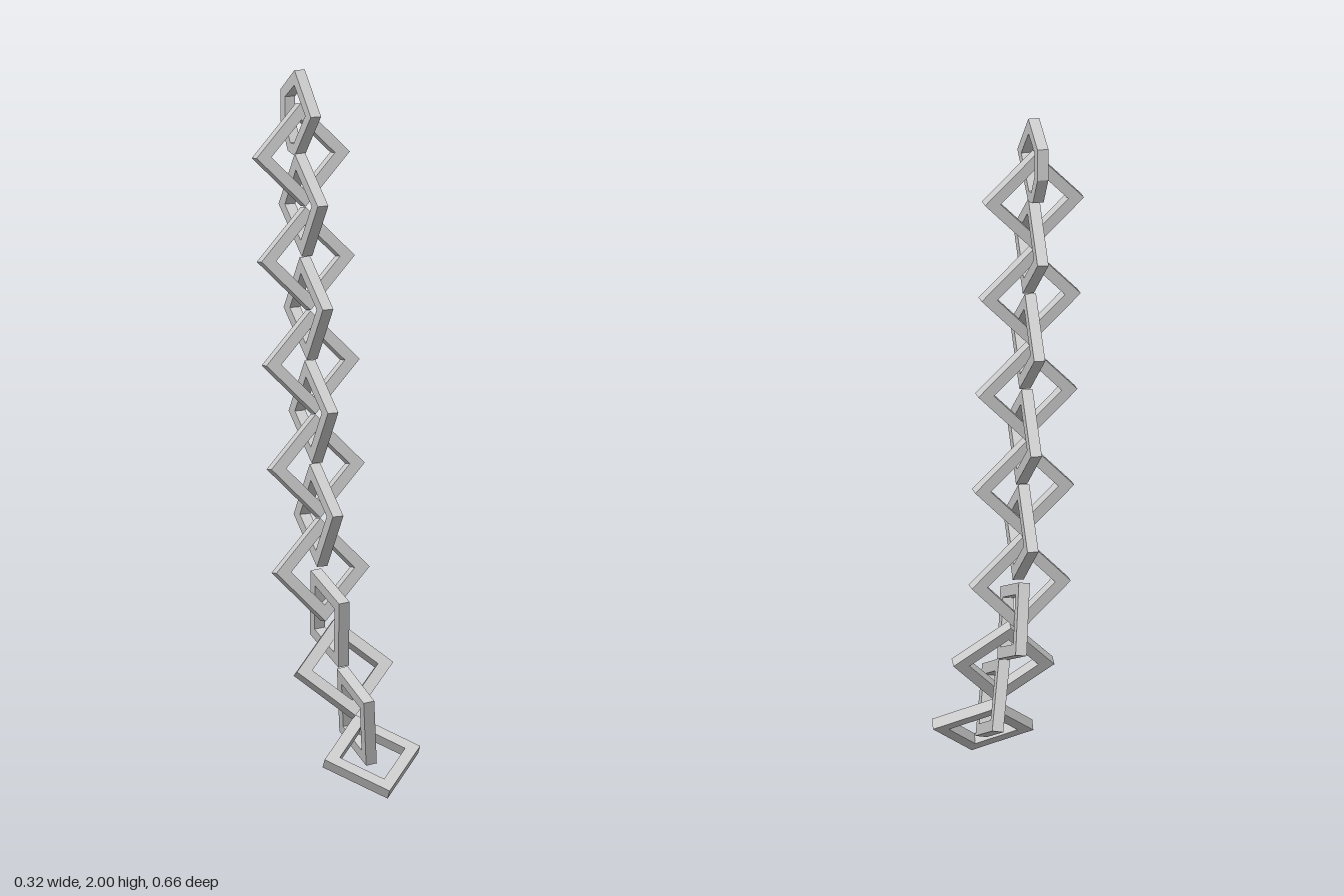
import * as THREE from 'three';

const material = new THREE.MeshStandardMaterial({ color: 0xcccccc, flatShading: true });
const THICKNESS = 0.032;

// Flat ring cut from an outer and an inner outline, centred in depth
function ringGeometry(outer, inner) {
  const toPoints = list => list.map(([x, y]) => new THREE.Vector2(x, y));
  const shape = new THREE.Shape(toPoints(outer));
  shape.holes.push(new THREE.Path(toPoints(inner)));
  const geometry = new THREE.ExtrudeGeometry(shape, { depth: THICKNESS, bevelEnabled: false });
  return geometry.translate(0, 0, -THICKNESS / 2);
}

const diamond = r => [[r, 0], [0, r], [-r, 0], [0, -r]];

export function createModel() {
  const chain = new THREE.Group();
  chain.name = 'chain';
  const linkGeometry = ringGeometry(diamond(0.145), diamond(0.099));

  // Places a ring so that its plane holds the directions up and across
  function addLink(name, position, up, across, geometry = linkGeometry) {
    const y = new THREE.Vector3(...up).normalize();
    const x = new THREE.Vector3(...across);
    x.addScaledVector(y, -x.dot(y)).normalize();
    const z = new THREE.Vector3().crossVectors(x, y);
    const mesh = new THREE.Mesh(geometry, material);
    mesh.name = name;
    mesh.quaternion.setFromRotationMatrix(new THREE.Matrix4().makeBasis(x, y, z));
    mesh.position.set(...position);
    chain.add(mesh);
  }

  // Straight upper run: links facing the front alternate with links facing sideways
  for (let i = 0; i < 5; i++) {
    addLink('frontFacingLink' + (i + 1), [-0.015, 1.76 - 0.29 * i, -0.198 + 0.032 * i],
      [0, 0.29, -0.033], [1, 0, 0]);
  }
  for (let i = 0; i < 4; i++) {
    addLink('sideFacingLink' + (i + 1), [-0.014, 1.62 - 0.289 * i, -0.183 + 0.0325 * i],
      [-0.003, 0.144, -0.017], [-0.008, 0.017, 0.144]);
  }

  // Lower end swings forward and twists
  addLink('sideFacingLink5', [-0.014, 0.471, -0.013], [-0.012, 0.124, -0.061], [-0.017, 0.066, 0.124]);
  addLink('frontFacingLink6', [-0.003, 0.335, 0.053], [0, 0.884, -0.467], [0.29, 0.022, 0.017]);
  addLink('sideFacingLink6', [0.007, 0.21, 0.119], [-0.015, 0.125, -0.06], [-0.024, 0.06, 0.124]);
  addLink('endLink', [0.01, 0.107, 0.207], [0, 0.637, -0.77], [0.29, 0.022, 0.018]);

  // Bent top link, outlined in z and y
  const topGeometry = ringGeometry(
    [[-0.1, 1.881], [-0.206, 2], [-0.296, 1.934], [-0.296, 1.844], [-0.249, 1.765], [-0.205, 1.757]],
    [[-0.137, 1.88], [-0.208, 1.957], [-0.268, 1.916], [-0.268, 1.85], [-0.233, 1.79], [-0.212, 1.79]]);
  addLink('topLink', [-0.015, 0, 0], [0, 1, 0], [0, 0, 1], topGeometry);

  return chain;
}
